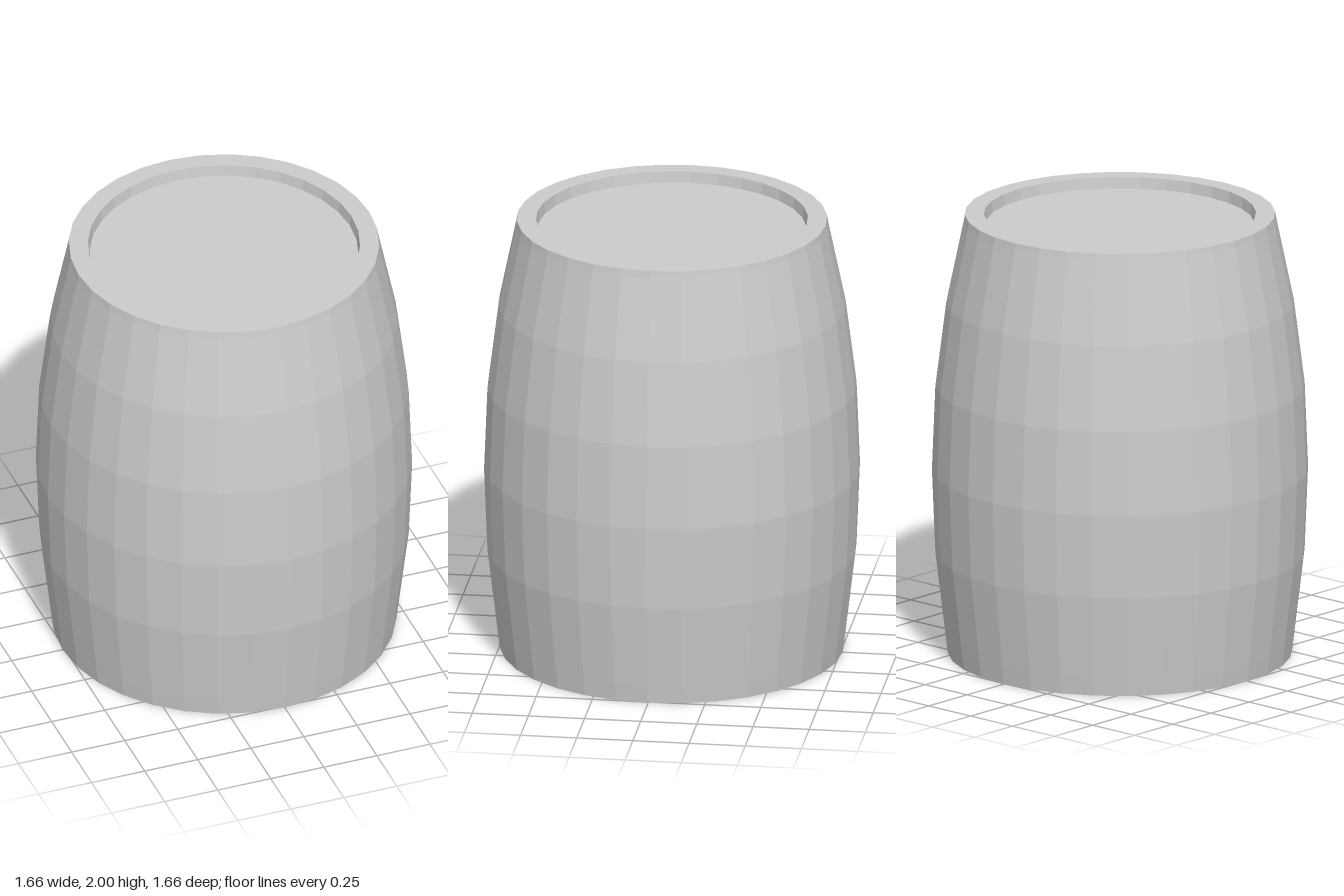
import * as THREE from 'three';

const SIDES = 32;

export function createModel() {
  const model = new THREE.Group();
  model.name = 'barrel';
  const material = new THREE.MeshStandardMaterial({ color: 0xcccccc, flatShading: true });

  // Turned part from [radius, height] pairs, listed so the faces point outwards
  const addTurned = (name, profile) => {
    const points = profile.map(([r, y]) => new THREE.Vector2(r, y));
    const mesh = new THREE.Mesh(new THREE.LatheGeometry(points, SIDES), material);
    mesh.name = name;
    model.add(mesh);
  };

  // Bulging outer wall, widest a little below the middle
  addTurned('barrelWall', [
    [0.76, 0], [0.77, 0.08], [0.815, 0.46], [0.83, 0.84],
    [0.815, 1.22], [0.767, 1.6], [0.69, 1.97], [0.685, 2],
  ]);

  // Flat top rim, dropping to the shallow recessed lid
  addTurned('topRim', [[0.685, 2], [0.6, 2], [0.593, 1.95]]);
  addTurned('lid', [[0.593, 1.95], [0, 1.95]]);

  // Underside: deeper recessed base inside a flat foot ring
  addTurned('base', [[0, 0.1], [0.677, 0.1]]);
  addTurned('footRing', [[0.677, 0.1], [0.677, 0], [0.76, 0]]);

  return model;
}
